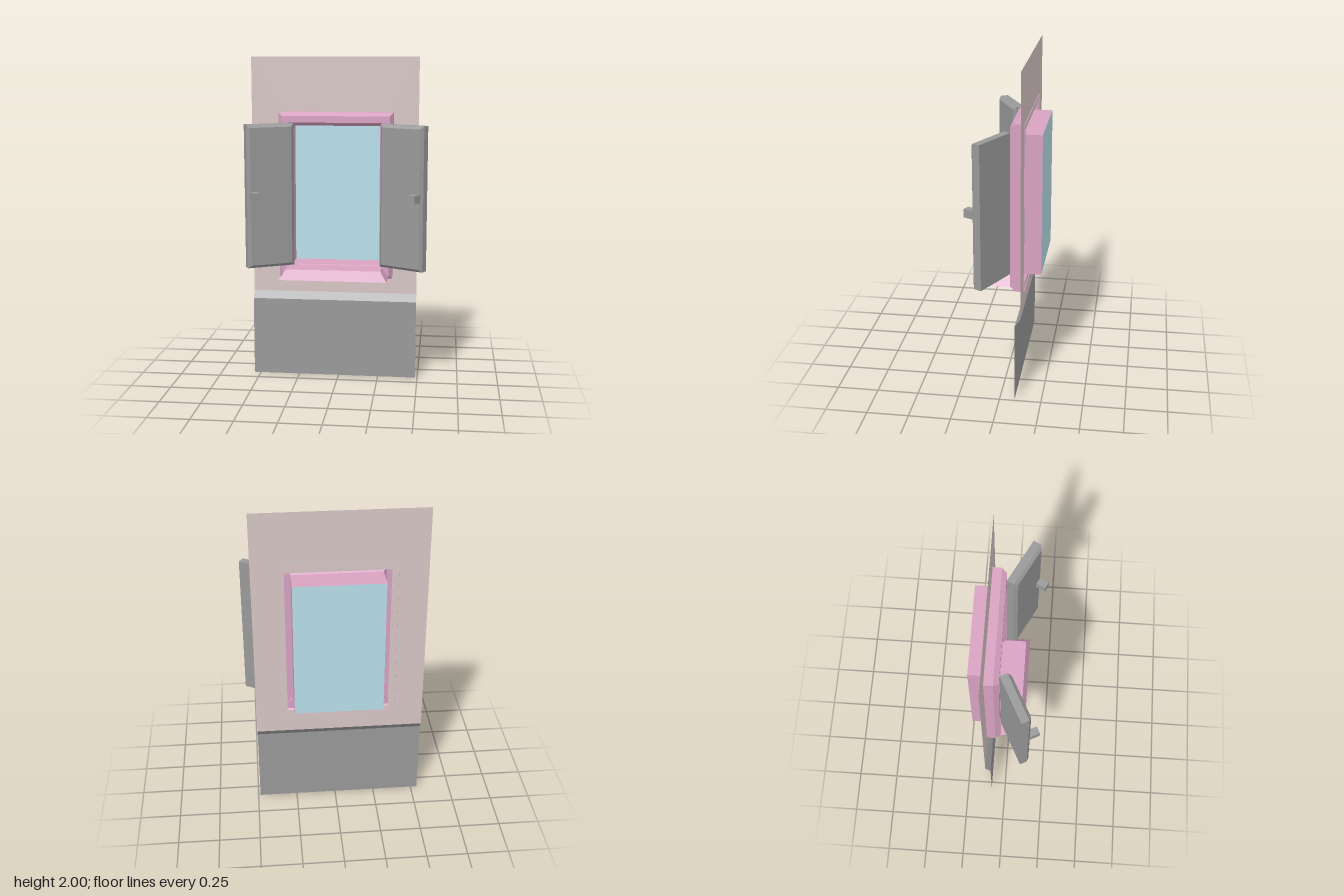
import * as THREE from 'three';

const mat = (color) => new THREE.MeshStandardMaterial({ color, flatShading: true, side: THREE.DoubleSide });
const wallMat = mat(0xd8c6c6), pinkMat = mat(0xd8a2c2), paneMat = mat(0xb9e0ea), greyMat = mat(0x999999);

function addMesh(parent, name, geometry, material) {
  const mesh = new THREE.Mesh(geometry, material);
  mesh.name = name;
  parent.add(mesh);
  return mesh;
}

// Joins rectangular rings [x0, x1, y0, y1, z] into a flat-sided shell
function loft(rings, capped = false) {
  const corners = rings.map(([x0, x1, y0, y1, z]) => [[x0, y0, z], [x1, y0, z], [x1, y1, z], [x0, y1, z]]);
  const pos = [];
  const quad = (a, b, c, d) => [a, b, c, a, c, d].forEach((p) => pos.push(...p));
  for (let i = 0; i < corners.length - 1; i++) {
    for (let k = 0; k < 4; k++) {
      const n = (k + 1) % 4;
      quad(corners[i][k], corners[i][n], corners[i + 1][n], corners[i + 1][k]);
    }
  }
  if (capped) {
    const [a, b, c, d] = corners[0];
    quad(d, c, b, a);
    quad(...corners[corners.length - 1]);
  }
  const g = new THREE.BufferGeometry();
  g.setAttribute('position', new THREE.Float32BufferAttribute(pos, 3));
  g.computeVertexNormals();
  return g;
}

// Window opening, and a rectangle grown around it by a margin
const X0 = -0.285, X1 = 0.255, Y0 = 0.725, Y1 = 1.587;
const around = (m, z) => [X0 - m, X1 + m, Y0 - m, Y1 + m, z];

function rectPath(path, [x0, x1, y0, y1]) {
  path.moveTo(x0, y0);
  path.lineTo(x1, y0);
  path.lineTo(x1, y1);
  path.lineTo(x0, y1);
  path.closePath();
  return path;
}

// Panelled shutter swung open on its hinge, with a small knob
function shutter(side) {
  const g = new THREE.Group();
  g.name = side > 0 ? 'leftShutter' : 'rightShutter';
  const len = 0.295, c = 0.018;
  const ring = (inset, z) => {
    const xs = [side * inset, side * (len - inset)].sort((a, b) => a - b);
    return [...xs, 0.735 + inset, 1.605 - inset, z];
  };
  addMesh(g, 'shutterPanel', loft([ring(0, 0), ring(0, 0.047), ring(c, 0.065)], true), greyMat);
  const knob = addMesh(g, 'shutterKnob', new THREE.BoxGeometry(0.045, 0.05, 0.068), greyMat);
  knob.position.set(side * 0.258, 1.18, 0.093);
  g.position.set(side * 0.286, 0, -0.04);
  g.rotation.y = -side * THREE.MathUtils.degToRad(27.5);
  return g;
}

export function createModel() {
  const model = new THREE.Group();
  model.name = 'wallWithWindow';

  // Upper wall sheet with the window hole
  const wallShape = rectPath(new THREE.Shape(), [-0.54, 0.487, 0.535, 2]);
  wallShape.holes.push(rectPath(new THREE.Path(), around(0.04, 0)));
  addMesh(model, 'upperWall', new THREE.ShapeGeometry(wallShape), wallMat).position.z = -0.123;

  // Lower wall and its sloping ledge
  const lower = new THREE.PlaneGeometry(1.027, 0.535, 1, 2);
  const p = lower.attributes.position;
  const rowY = [0.535, 0.49, 0], rowZ = [-0.123, -0.09, -0.09];
  for (let i = 0; i < p.count; i++) {
    const row = Math.floor(i / 2);
    p.setXYZ(i, p.getX(i) - 0.0265, rowY[row], rowZ[row]);
  }
  const lowerFlat = lower.toNonIndexed();
  lowerFlat.computeVertexNormals();
  addMesh(model, 'lowerWall', lowerFlat, greyMat);

  // Bevelled frame running back into the deep reveal
  addMesh(model, 'windowFrame', loft([
    around(0.08, -0.127), around(0.08, -0.07), around(0.06, -0.04),
    around(0.02, -0.04), around(0, -0.068), around(0, -0.218),
  ]), pinkMat);

  // Glass at the back of the reveal
  const pane = addMesh(model, 'windowPane', new THREE.PlaneGeometry(X1 - X0, Y1 - Y0), paneMat);
  pane.position.set((X0 + X1) / 2, (Y0 + Y1) / 2, -0.218);

  // Sill with sloping front and ends, lofted upwards then laid flat
  const sill = loft([
    [-0.345, 0.312, -0.11, 0.065, 0.66],
    [-0.305, 0.273, -0.085, 0.065, 0.722],
  ], true);
  sill.rotateX(-Math.PI / 2);
  addMesh(model, 'windowSill', sill, pinkMat);

  model.add(shutter(1), shutter(-1));
  return model;
}
